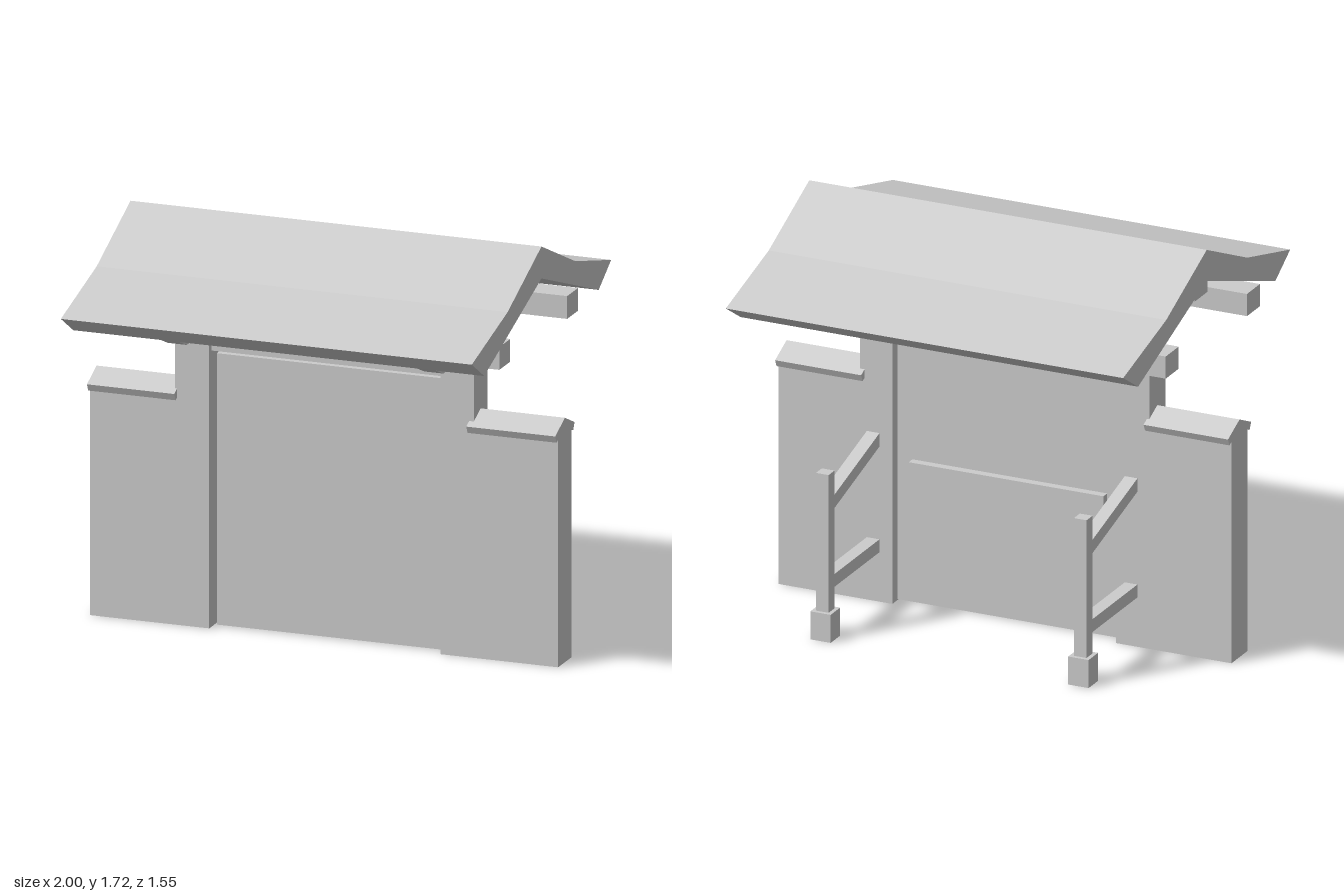
import * as THREE from 'three';

const material = new THREE.MeshStandardMaterial({ color: 0xcccccc, flatShading: true });

export function createModel() {
  const model = new THREE.Group();

  const add = (name, geometry) => {
    const mesh = new THREE.Mesh(geometry, material);
    mesh.name = name;
    model.add(mesh);
  };

  // Box given by its limits on each axis
  const box = (name, x0, x1, y0, y1, z0, z1) =>
    add(name, new THREE.BoxGeometry(x1 - x0, y1 - y0, z1 - z0)
      .translate((x0 + x1) / 2, (y0 + y1) / 2, (z0 + z1) / 2));

  // Profile of [z, y] points, extruded from x0 to x1
  const prism = (name, x0, x1, points) => {
    const shape = new THREE.Shape(points.map(([z, y]) => new THREE.Vector2(-z, y)));
    const geometry = new THREE.ExtrudeGeometry(shape, { depth: x1 - x0, bevelEnabled: false });
    add(name, geometry.rotateY(Math.PI / 2).translate(x0, 0, 0));
  };

  // Completes a half profile (starting and ending on z = 0) by mirroring it
  const mirrored = (half) =>
    [...half, ...half.slice(1, -1).reverse().map(([z, y]) => [-z, y])];

  // Main roof with a kinked slope
  prism('roof', -0.855, 0.9, mirrored([
    [0, 1.72], [0.375, 1.553], [0.773, 1.446], [0.635, 1.36], [0, 1.587],
  ]));

  // Beams carrying the roof
  box('ridgeBeam', -0.83, 0.84, 1.515, 1.57, -0.06, 0.06);
  for (const z of [-0.376, 0.376]) box('purlin', -0.882, 0.888, 1.328, 1.423, z - 0.06, z + 0.06);

  // Gate panel, its locking bar and the panel above it
  box('door', -0.475, 0.497, 0.005, 1.135, -0.03, 0.03);
  box('lockingBar', -0.43, 0.43, 0.54, 0.615, -0.065, -0.03);
  box('lintel', -0.49, 0.497, 1.15, 1.515, -0.05, 0.05);

  // Each side: post, bracket arm, side wall with its cap, and rear support
  const sides = [
    { post: [-0.637, -0.49], wall: [-1, -0.637], cap: [-1, -0.627], arm: -0.526, strut: -0.557 },
    { post: [0.497, 0.64], wall: [0.64, 1], cap: [0.62, 1], arm: 0.57, strut: 0.582 },
  ];
  for (const { post, wall, cap, arm, strut } of sides) {
    box('post', ...post, 0, 1.515, -0.075, 0.075);
    prism('bracketArm', arm - 0.04, arm + 0.04, mirrored([
      [0, 1.37], [0.512, 1.37], [0.512, 1.33], [0.335, 1.254], [0, 1.254],
    ]));
    prism('sideWall', ...wall, mirrored([[0, 0.985], [0.075, 0.949], [0.075, 0], [0, 0]]));
    prism('wallCap', ...cap, mirrored([[0, 1.018], [0.107, 0.97], [0.093, 0.94], [0, 0.983]]));

    // Rear support
    const x0 = strut - 0.028, x1 = strut + 0.028;
    box('supportFoot', strut - 0.045, strut + 0.045, 0, 0.12, -0.563, -0.475);
    box('supportPost', x0, x1, 0.12, 0.71, -0.546, -0.491);
    box('lowerRail', x0, x1, 0.212, 0.267, -0.491, -0.075);
    prism('slopingBrace', x0, x1, [[-0.075, 0.722], [-0.075, 0.665], [-0.491, 0.55], [-0.491, 0.607]]);
  }

  return model;
}
